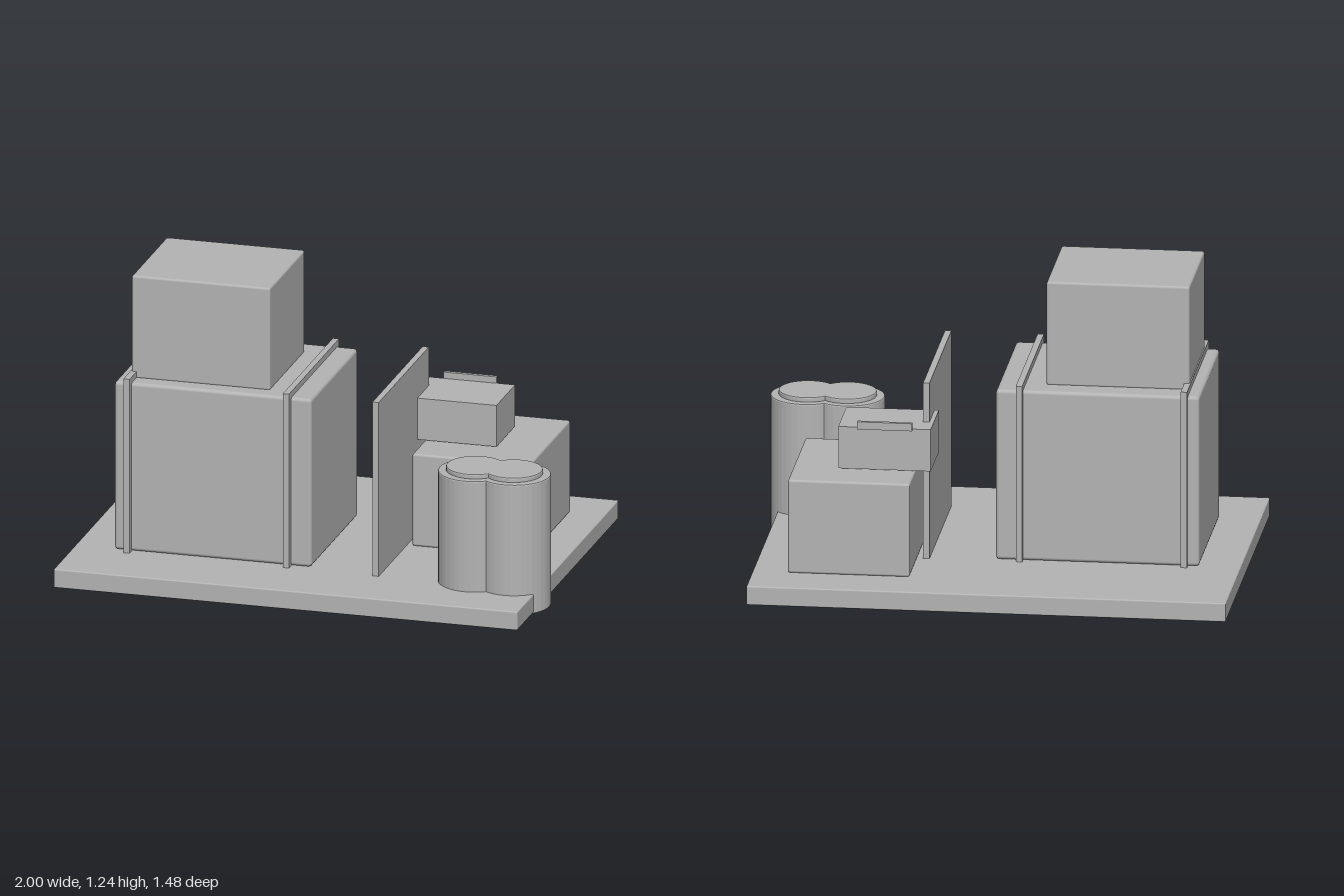
import * as THREE from 'three';
import { RoundedBoxGeometry } from 'three/addons/geometries/RoundedBoxGeometry.js';

export function createModel() {
  const model = new THREE.Group();
  const grey = new THREE.MeshStandardMaterial({ color: 0xb4b4b4 });
  grey.name = 'plain grey';
  const facetedGrey = grey;

  // Box given by its limits along x, y and z; edges are rounded if radius > 0
  function box(name, [x0, x1], [y0, y1], [z0, z1], radius = 0) {
    const size = [x1 - x0, y1 - y0, z1 - z0];
    const geometry = radius
      ? new RoundedBoxGeometry(...size, 2, radius)
      : new THREE.BoxGeometry(...size);
    const mesh = new THREE.Mesh(geometry, grey);
    mesh.name = name;
    mesh.position.set((x0 + x1) / 2, (y0 + y1) / 2, (z0 + z1) / 2);
    model.add(mesh);
  }

  // Base slab
  box('base', [-1, 0.96], [0.005, 0.085], [-0.74, 0.74], 0.006);

  // Large crate with a smaller one stacked on it
  box('largeCrate', [-0.832, 0], [0.085, 0.805], [-0.25, 0.432], 0.015);
  box('topCrate', [-0.78, -0.195], [0.8, 1.24], [-0.15, 0.36], 0.01);

  // Three equal thin panels: two through the large crate, one standing free
  for (const x of [-0.772, -0.098, 0.281]) {
    box('panel', [x - 0.013, x + 0.013], [0.08, 0.83], [-0.27, 0.462]);
  }

  // Low cabinet with a small unit and its rear tab
  box('cabinet', [0.317, 0.815], [0.085, 0.48], [-0.538, 0.055], 0.01);
  box('smallUnit', [0.25, 0.628], [0.488, 0.665], [-0.376, -0.104]);
  box('rearTab', [0.325, 0.55], [0.66, 0.692], [-0.391, -0.374]);

  // Twin-lobed solid: outline of two overlapping circles, raised along y
  function twinLobe(name, offset, radius, y0, y1, bevel) {
    const r = radius - bevel;
    const a = Math.acos(offset / r);
    const shape = new THREE.Shape();
    shape.absarc(offset, 0, r, a - Math.PI, Math.PI - a, false);
    shape.absarc(-offset, 0, r, a, 2 * Math.PI - a, false);
    const geometry = new THREE.ExtrudeGeometry(shape, {
      depth: y1 - y0 - 2 * bevel, curveSegments: 14,
      bevelEnabled: true, bevelSize: bevel, bevelThickness: bevel, bevelSegments: 2,
    });
    geometry.translate(0, 0, bevel);
    geometry.rotateX(-Math.PI / 2);
    const mesh = new THREE.Mesh(geometry, facetedGrey);
    mesh.name = name;
    mesh.position.set(0.766, y0, 0.402);
    model.add(mesh);
  }
  twinLobe('twinCanister', 0.083, 0.15, 0, 0.56, 0.006);
  twinLobe('canisterLid', 0.08, 0.12, 0.555, 0.58, 0.006);

  return model;
}
